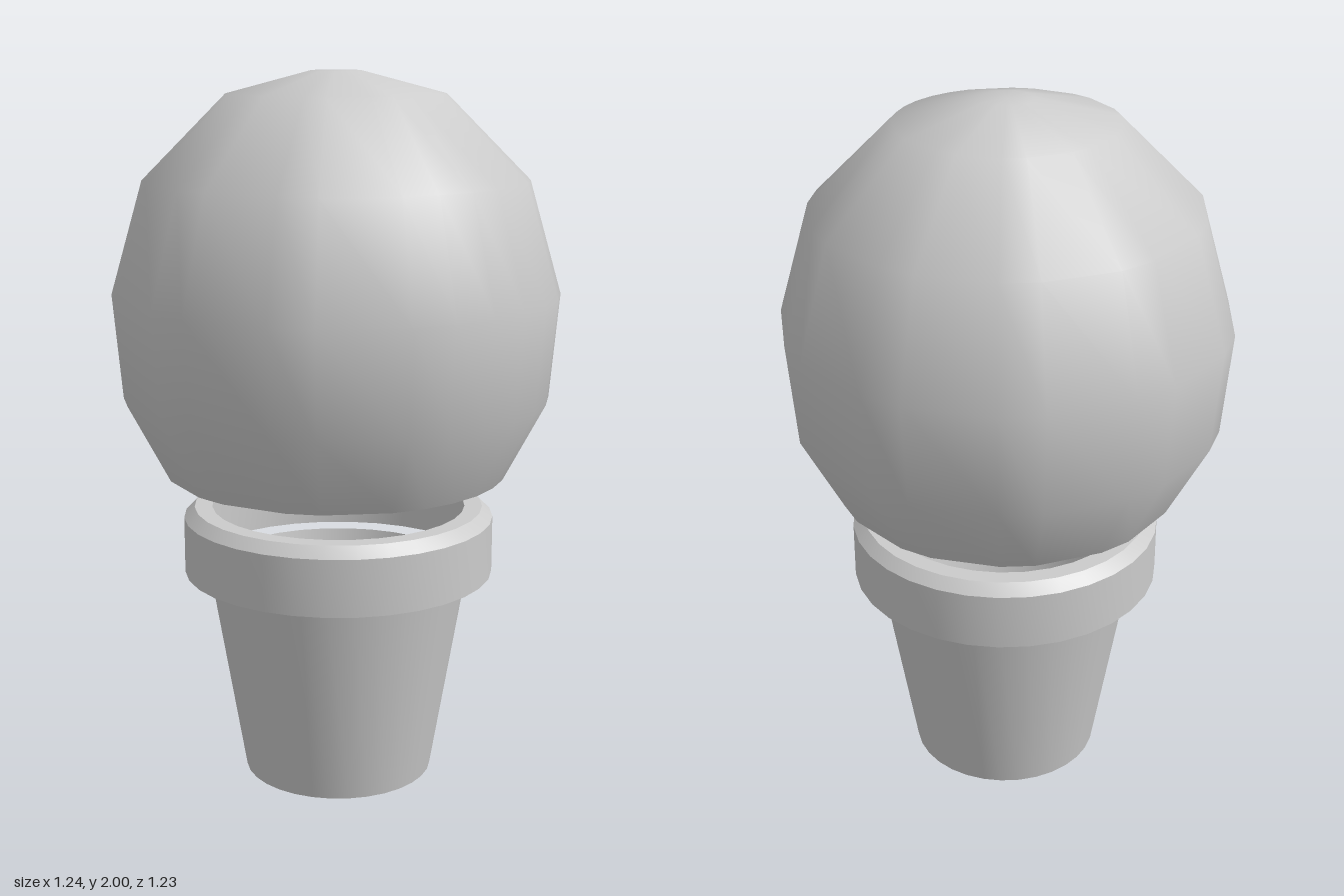
import * as THREE from 'three';
import { mergeVertices, toCreasedNormals } from 'three/addons/utils/BufferGeometryUtils.js';

const material = new THREE.MeshStandardMaterial({ color: 0xcccccc, side: THREE.DoubleSide });

function profile(points) {
  return points.map(([r, y]) => new THREE.Vector2(r, y));
}

// Turned part with crisp edges between its bands
function turned(name, points) {
  const geometry = toCreasedNormals(new THREE.LatheGeometry(profile(points), 32), 0.6);
  const mesh = new THREE.Mesh(geometry, material);
  mesh.name = name;
  mesh.position.set(-0.004, 0, 0.004);
  return mesh;
}

// Faceted ball, open below: a 32-step circle with some steps left out
function ballCrown() {
  const half = [0, 1, 2, 3, 5, 6, 8, 9, 11, 12, 14, 15];
  const steps = [...half, ...half.map((s) => 32 - s).reverse()];
  const points = profile([
    [0.48, 0.89], [0.595, 1.11], [0.62, 1.4], [0.53, 1.71], [0.3, 1.94], [0.07, 2], [0, 2],
  ]);
  const geometry = new THREE.LatheGeometry(points, steps.length - 1);
  const position = geometry.attributes.position;
  for (let i = 0; i < position.count; i++) {
    const { x: r, y } = points[i % points.length];
    const angle = (steps[Math.floor(i / points.length)] % 32) * Math.PI / 16;
    position.setXYZ(i, r * Math.sin(angle), y, r * Math.cos(angle));
  }
  geometry.deleteAttribute('uv');
  geometry.deleteAttribute('normal');
  const smooth = mergeVertices(geometry);
  smooth.computeVertexNormals();
  const mesh = new THREE.Mesh(smooth, material);
  mesh.name = 'ballCrown';
  mesh.position.z = -0.007;
  return mesh;
}

export function createModel() {
  const group = new THREE.Group();
  group.name = 'pottedBallTree';
  group.add(
    // Tapered pot with a closed base and open top
    turned('pot', [[0, 0], [0.27, 0], [0.37, 0.6]]),
    // Thin collar with a bevelled edge and a flat lip
    turned('potRim', [[0.44, 0.6], [0.44, 0.76], [0.41, 0.79], [0.36, 0.79]]),
    ballCrown(),
  );
  return group;
}
